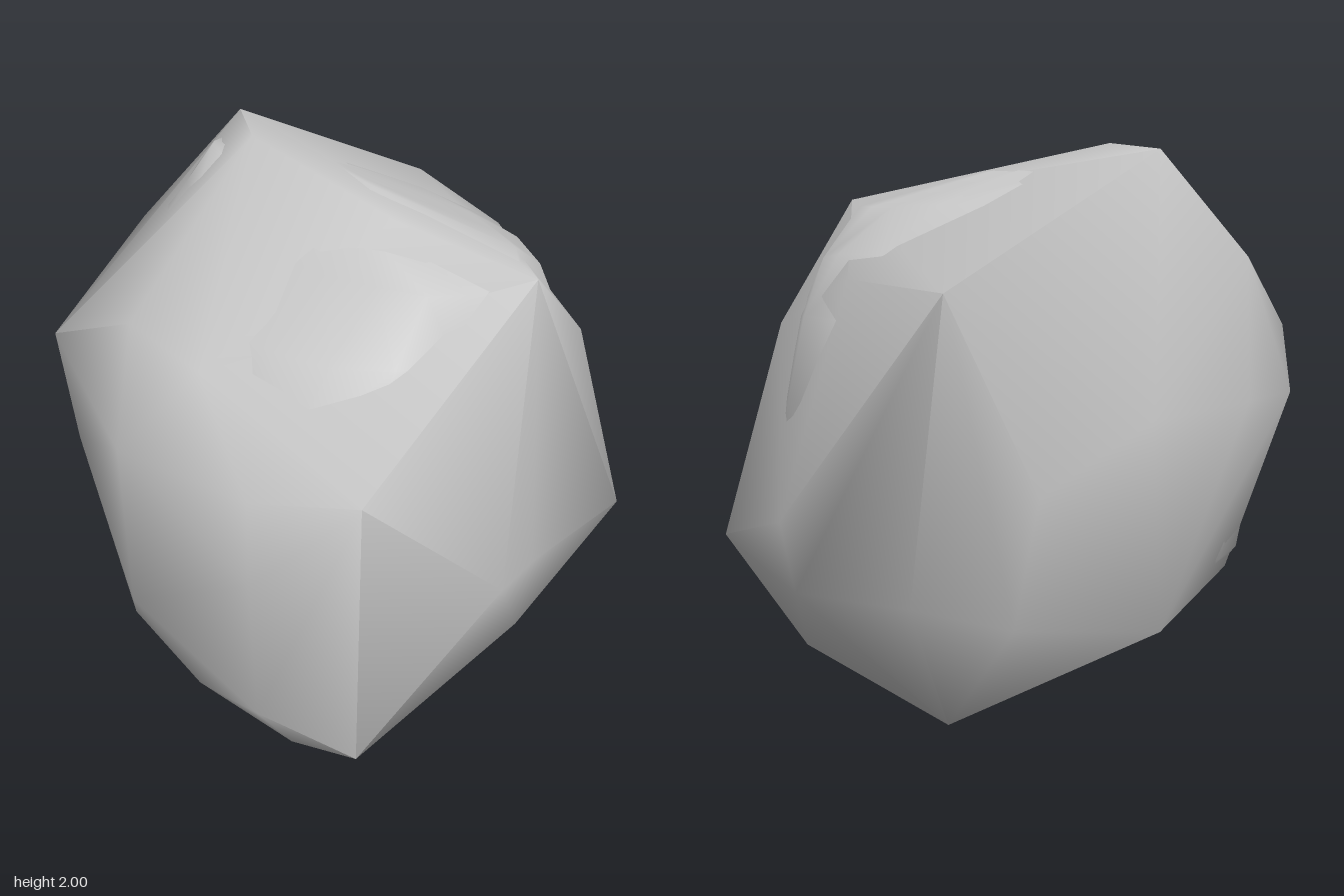
import * as THREE from 'three';
import { toCreasedNormals } from 'three/addons/utils/BufferGeometryUtils.js';
import { ConvexGeometry } from 'three/addons/geometries/ConvexGeometry.js';

// Level outlines of the boulder: y, min x, max x, min z, max z
const LEVELS = [
  [0.04, 0.0, 0.5, -0.3, 0.15],
  [0.09, -0.55, 0.6, -0.4, 0.38],
  [0.24, -0.85, 0.77, -0.62, 0.68],
  [0.48, -0.95, 0.91, -0.8, 0.81],
  [0.77, -0.96, 0.93, -0.87, 0.88],
  [1.1, -0.95, 0.9, -0.89, 0.84],
  [1.4, -0.85, 0.84, -0.87, 0.79],
  [1.6, -0.65, 0.67, -0.84, 0.77],
  [1.78, -0.38, 0.38, -0.79, 0.73],
  [1.9, -0.16, 0.12, -0.72, 0.1],
];

// Corners of the broken outer shell, from the crest down to the foot
const CORNERS = [
  // Crest
  [-0.12, 2, -0.4], [-0.1, 1.9, 0.3], [0.04, 1.82, 0.8], [0.12, 1.95, -0.78],
  // Shoulders
  [-0.7, 1.31, 0.8], [-0.78, 1.52, 0.12], [-0.76, 1.52, -0.3], [-0.82, 1.33, -0.73],
  [-0.9, 1.27, 0.5], [1, 1.51, -0.65], [0.78, 1.53, 0], [0.6, 1.35, 0.58],
  [-0.3, 1.6, -0.87],
  // Sides
  [-0.98, 1.2, -0.1], [-0.95, 1.0, 0.55], [-0.92, 0.4, 0.52], [-1, 0.57, -0.08],
  [-0.9, 1.02, -0.5], [0.97, 0.72, 0.15], [0.95, 0.48, 0.1], [0.92, 0.52, -0.42],
  // Front
  [-0.17, 0.77, 0.93], [0.02, 0.77, 0.9], [0.4, 0.75, 0.77], [0.78, 0.55, 0.72],
  [0.1, 0.36, 0.79], [0.52, 0.3, 0.53],
  // Back
  [-0.6, 1.1, -0.89], [-0.25, 1.1, -0.92], [0.35, 1.1, -0.93], [0.75, 0.9, -0.8],
  [0.75, 0.47, -0.7], [0.28, 0.4, -0.92], [-0.62, 0.38, -0.62],
  // Foot
  [-0.64, 0.12, 0.71], [-0.8, 0.2, 0.55], [-0.9, 0.26, 0.15], [-0.8, 0.18, -0.12],
  [-0.9, 0.34, -0.25], [-0.55, 0.08, 0.3], [-0.3, 0.17, -0.52], [0, 0.2, -0.57],
  [0.71, 0.07, -0.38], [0.35, 0, -0.12], [0.5, 0.02, 0], [0.8, 0.25, 0],
  [0.74, 0.2, 0.3], [0.2, 0.11, 0.45],
];

function seededRandom(seed) {
  return () => {
    seed = (seed * 16807) % 2147483647;
    return seed / 2147483647;
  };
}

// Lumpy closed loft through rounded-square rings
function lumpGeometry(seed, segments, roughness) {
  const random = seededRandom(seed);
  const positions = [];
  const indices = [];
  const squared = (v) => Math.sign(v) * Math.abs(v) ** 0.83;
  LEVELS.forEach(([y, x0, x1, z0, z1]) => {
    for (let i = 0; i < segments; i++) {
      const a = (i / segments) * Math.PI * 2;
      // The front corner on the +x side is worn rounder than the others
      const worn = a < Math.PI / 2 ? 0.09 * Math.sin(2 * a) : 0;
      const r = 1 - worn - random() * roughness;
      positions.push(
        (x0 + x1) / 2 + ((x1 - x0) / 2) * squared(Math.cos(a)) * r,
        y + (random() - 0.5) * roughness,
        (z0 + z1) / 2 + ((z1 - z0) / 2) * squared(Math.sin(a)) * r,
      );
    }
  });
  for (let k = 0; k < LEVELS.length - 1; k++) {
    for (let i = 0; i < segments; i++) {
      const a = k * segments + i;
      const b = k * segments + ((i + 1) % segments);
      const c = a + segments;
      const d = b + segments;
      if (random() < 0.5) indices.push(a, c, b, b, c, d);
      else indices.push(a, c, d, a, d, b);
    }
  }
  // End caps
  const top = (LEVELS.length - 1) * segments;
  for (let i = 1; i < segments - 1; i++) {
    indices.push(0, i, i + 1, top, top + i + 1, top + i);
  }
  const geometry = new THREE.BufferGeometry();
  geometry.setAttribute('position', new THREE.Float32BufferAttribute(positions, 3));
  geometry.setIndex(indices);
  geometry.computeVertexNormals();
  return geometry;
}

export function createModel() {
  const rock = new THREE.Group();
  rock.name = 'boulder';
  const stone = new THREE.MeshStandardMaterial({ color: 0xcacaca });
  stone.name = 'grey stone';

  const add = (name, geometry) => {
    const mesh = new THREE.Mesh(geometry, stone);
    mesh.name = name;
    rock.add(mesh);
  };

  // Rounded mass that swells through the faces of the shell
  add('roundedCore', lumpGeometry(71, 20, 0.025));

  // Broken shell, softly shaded except over its sharpest edges
  const hull = new ConvexGeometry(CORNERS.map((p) => new THREE.Vector3(...p)));
  add('brokenShell', toCreasedNormals(hull, 1.1));

  return rock;
}
